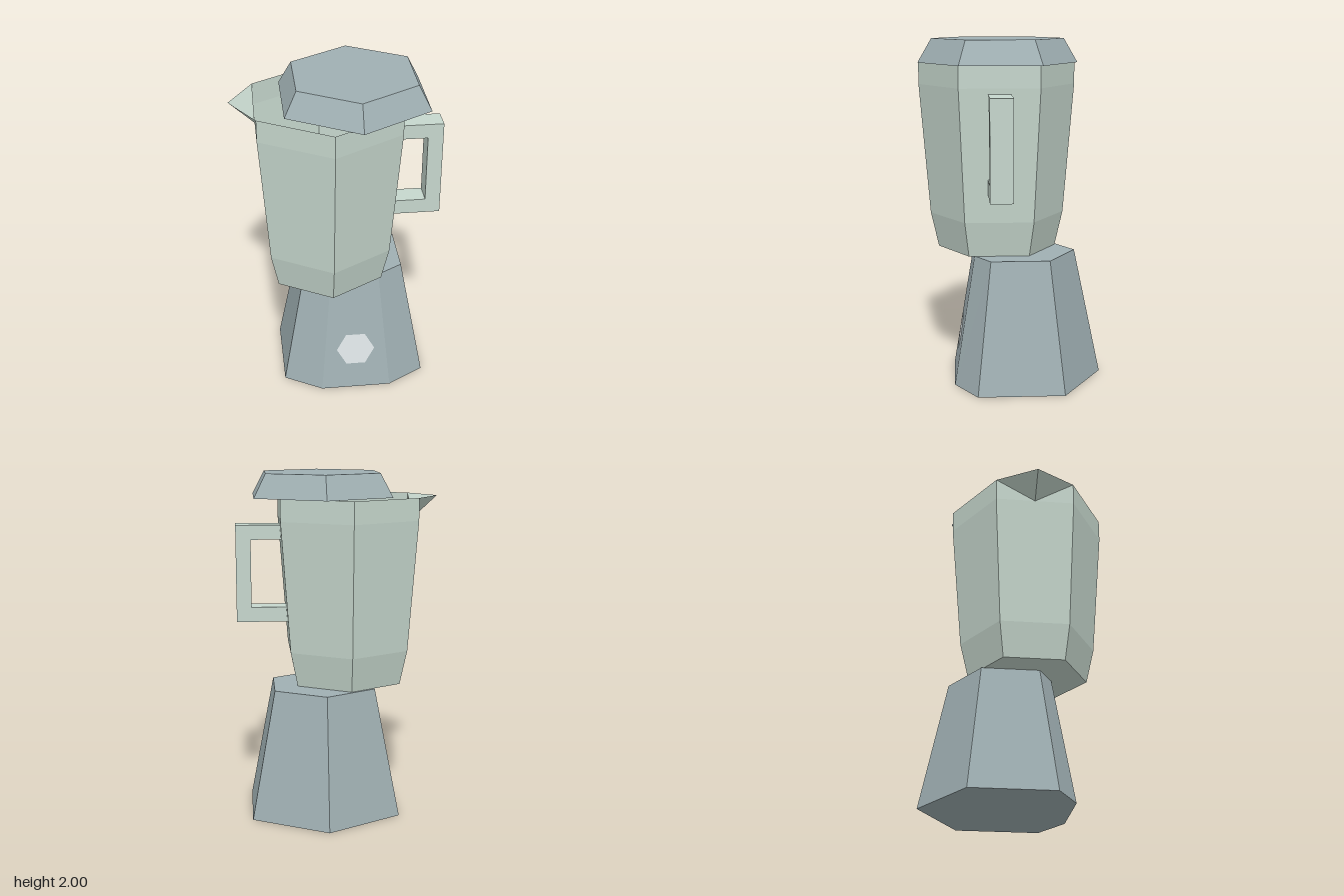
import * as THREE from 'three';

const material = (color, side = THREE.FrontSide) =>
  new THREE.MeshStandardMaterial({ color, side, flatShading: true });

function add(parent, name, geometry, mat) {
  const mesh = new THREE.Mesh(geometry, mat);
  mesh.name = name;
  parent.add(mesh);
  return mesh;
}

// Turns a list of triangles (three points each) into a faceted geometry
function facets(points) {
  const geometry = new THREE.BufferGeometry().setFromPoints(points);
  geometry.computeVertexNormals();
  return geometry;
}

// Joins rings of points from bottom to top; skip(band, side) leaves a face open
function loft(rings, { capBottom = true, capTop = true, skip = () => false } = {}) {
  const tris = [];
  const n = rings[0].length;
  for (let r = 0; r < rings.length - 1; r++) {
    for (let i = 0; i < n; i++) {
      if (skip(r, i)) continue;
      const j = (i + 1) % n;
      const [a, b, c, d] = [rings[r][i], rings[r][j], rings[r + 1][j], rings[r + 1][i]];
      tris.push(a, b, c, a, c, d);
    }
  }
  const bottom = rings[0], top = rings[rings.length - 1];
  for (let i = 1; i < n - 1; i++) {
    if (capBottom) tris.push(bottom[0], bottom[i + 1], bottom[i]);
    if (capTop) tris.push(top[0], top[i], top[i + 1]);
  }
  return tris;
}

// Hexagon with corners towards +z and -z
function hexRing(radius, y, x, z) {
  return Array.from({ length: 6 }, (_, i) => {
    const a = (i * Math.PI) / 3;
    return new THREE.Vector3(x + radius * Math.sin(a), y, z + radius * Math.cos(a));
  });
}

// Hexagon whose front corner is cut flat
function baseRing(radius, cut, frontZ, y) {
  const ring = hexRing(radius, y, 0.09, -0.04);
  ring.splice(0, 1,
    new THREE.Vector3(0.09 - cut, y, frontZ),
    new THREE.Vector3(0.09 + cut, y, frontZ));
  return ring;
}

export function createModel() {
  const blender = new THREE.Group();
  blender.name = 'blender';
  const grey = material(0xa0b0b3);
  const glass = material(0xc6d7cd, THREE.DoubleSide);

  // Motor base
  add(blender, 'motorBase',
    facets(loft([baseRing(0.497, 0.21, 0.337, 0), baseRing(0.337, 0.142, 0.217, 0.755)])), grey);

  // Button lying on the sloped front
  const button = add(blender, 'button', new THREE.CircleGeometry(0.115, 6), material(0xdde4e6));
  button.position.set(0.09, 0.265, 0.299);
  button.rotation.x = -Math.atan2(0.12, 0.755);

  // Open jug, with the left band of the rim notched for the spout
  const profile = [[0.35, 0.755], [0.397, 0.96], [0.46, 1.73], [0.46, 1.86]];
  const rings = profile.map(([r, y]) => hexRing(r, y, -0.06, 0.075));
  const jug = loft(rings, { capTop: false, skip: (band, side) => band === 2 && side === 4 });
  const [backLow, frontLow] = [rings[2][4], rings[2][5]];
  const [backRim, frontRim] = [rings[3][4], rings[3][5]];
  const throat = backLow.clone().lerp(frontLow, 0.5);
  jug.push(backLow, throat, backRim, throat, frontLow, frontRim);
  add(blender, 'jug', facets(jug), glass);

  // Pouring spout
  const tip = new THREE.Vector3(-0.6, 1.86, 0.075);
  add(blender, 'spout', facets([tip, throat, frontRim, tip, backRim, throat]), glass);

  // Handle, its ends following the jug wall
  const outline = new THREE.Shape([
    [0.293, 1.125], [0.595, 1.125], [0.595, 1.697], [0.333, 1.697],
    [0.326, 1.612], [0.507, 1.612], [0.507, 1.212], [0.298, 1.212],
  ].map(([x, y]) => new THREE.Vector2(x, y)));
  const handle = new THREE.ExtrudeGeometry(outline, { depth: 0.13, bevelEnabled: false });
  handle.translate(0, 0, 0.01);
  add(blender, 'handle', handle, glass);

  // Lid, set off to the side
  const lid = add(blender, 'lid', new THREE.CylinderGeometry(0.38, 0.46, 0.138, 6), grey);
  lid.position.set(0.09, 1.931, 0.075);

  return blender;
}
